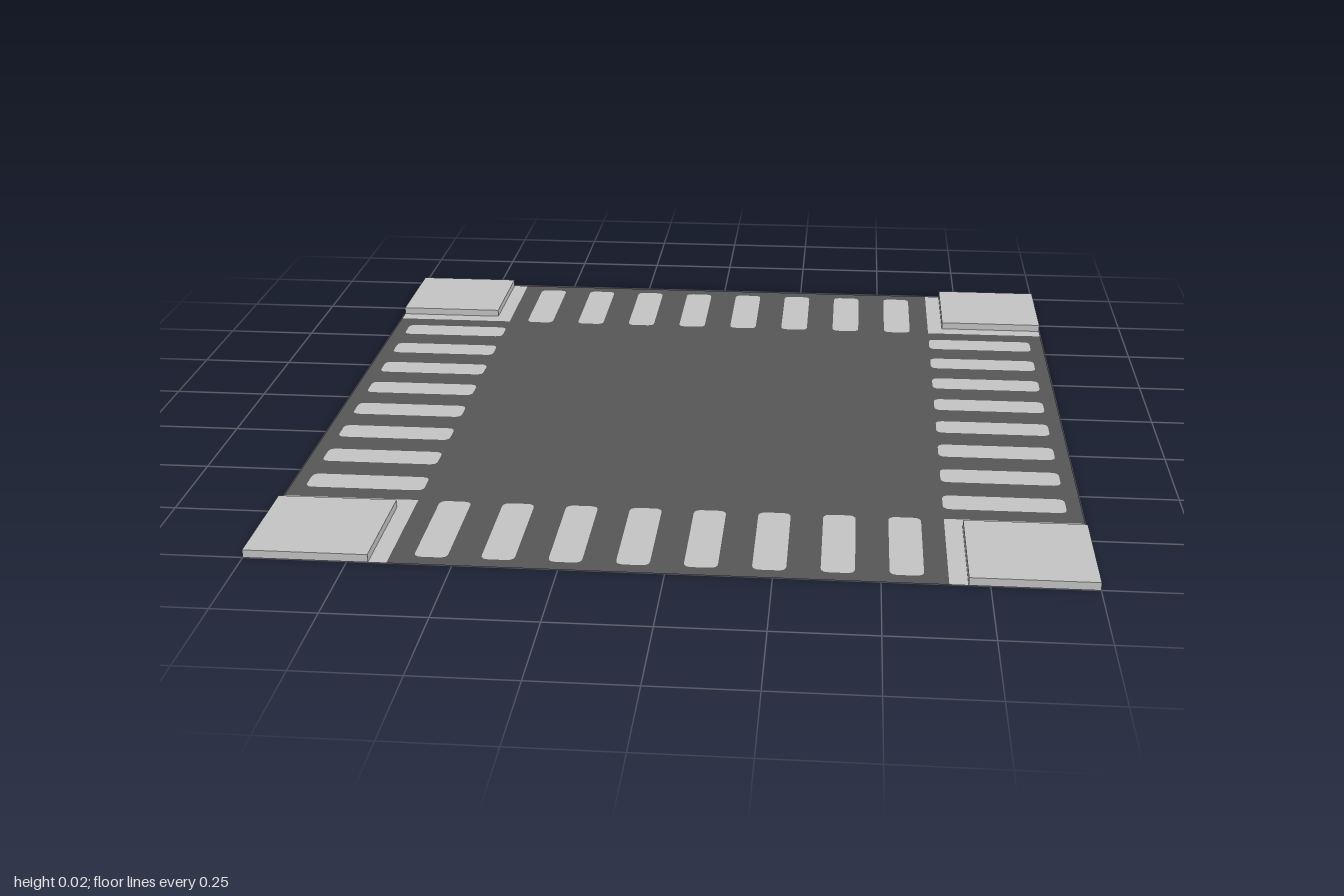
import * as THREE from 'three';

const PAD_IN = 0.656, PAD_OUT = 0.962, PAD_W = 0.08, PITCH = 0.16;
const BLOCK = 0.3, BLOCK_H = 0.02;

// Rounded rectangle outline centred on (x, y)
function roundedRect(path, x, y, w, h, r) {
  const l = x - w / 2, b = y - h / 2, R = l + w, t = b + h;
  path.moveTo(l + r, b);
  path.lineTo(R - r, b);
  path.quadraticCurveTo(R, b, R, b + r);
  path.lineTo(R, t - r);
  path.quadraticCurveTo(R, t, R - r, t);
  path.lineTo(l + r, t);
  path.quadraticCurveTo(l, t, l, t - r);
  path.lineTo(l, b + r);
  path.quadraticCurveTo(l, b, l + r, b);
  return path;
}

const polygon = (pts) => new THREE.Shape(pts.map(([x, y]) => new THREE.Vector2(x, y)));

export function createModel() {
  const model = new THREE.Group();
  model.name = 'contactFrame';
  const dark = new THREE.MeshStandardMaterial({ color: 0x565656, side: THREE.DoubleSide });
  dark.name = 'dark grey';
  const light = new THREE.MeshStandardMaterial({ color: 0xc3c3c3, side: THREE.DoubleSide });
  light.name = 'light grey';

  // Lay flat shapes on the ground plane
  const addFlat = (name, shapes, material) => {
    const mesh = new THREE.Mesh(new THREE.ShapeGeometry(shapes, 4).rotateX(-Math.PI / 2), material);
    mesh.name = name;
    model.add(mesh);
  };

  // Eight contact pads along each of the four edges
  const pads = [], holes = [];
  const mid = (PAD_IN + PAD_OUT) / 2, len = PAD_OUT - PAD_IN;
  for (const side of [-1, 1]) {
    for (let i = 0; i < 8; i++) {
      const along = (i - 3.5) * PITCH;
      for (const args of [[along, side * mid, PAD_W, len, 0.02], [side * mid, along, len, PAD_W, 0.02]]) {
        pads.push(roundedRect(new THREE.Shape(), ...args));
        holes.push(roundedRect(new THREE.Path(), ...args));
      }
    }
  }

  // Thin sheet, cross shaped, with openings for the pads
  const c = PAD_IN;
  const sheet = polygon([
    [-c, -1], [c, -1], [c, -c], [1, -c], [1, c], [c, c],
    [c, 1], [-c, 1], [-c, c], [-1, c], [-1, -c], [-c, -c],
  ]);
  sheet.holes.push(...holes);
  addFlat('sheet', sheet, dark);
  addFlat('contactPads', pads, light);

  // Corners: a flat L-shaped border around a raised square block
  const inner = 1 - BLOCK, borders = [];
  for (const sx of [-1, 1]) {
    for (const sz of [-1, 1]) {
      borders.push(polygon([[c, c], [1, c], [1, inner], [inner, inner], [inner, 1], [c, 1]]
        .map(([x, y]) => [sx * x, sz * y])));
      const block = new THREE.Mesh(
        new THREE.BoxGeometry(BLOCK, BLOCK_H, BLOCK),
        [light, light, light, dark, light, light], // dark underside
      );
      block.name = 'cornerBlock';
      block.position.set(sx * (1 - BLOCK / 2), BLOCK_H / 2, sz * (1 - BLOCK / 2));
      model.add(block);
    }
  }
  addFlat('cornerBorders', borders, light);

  return model;
}
